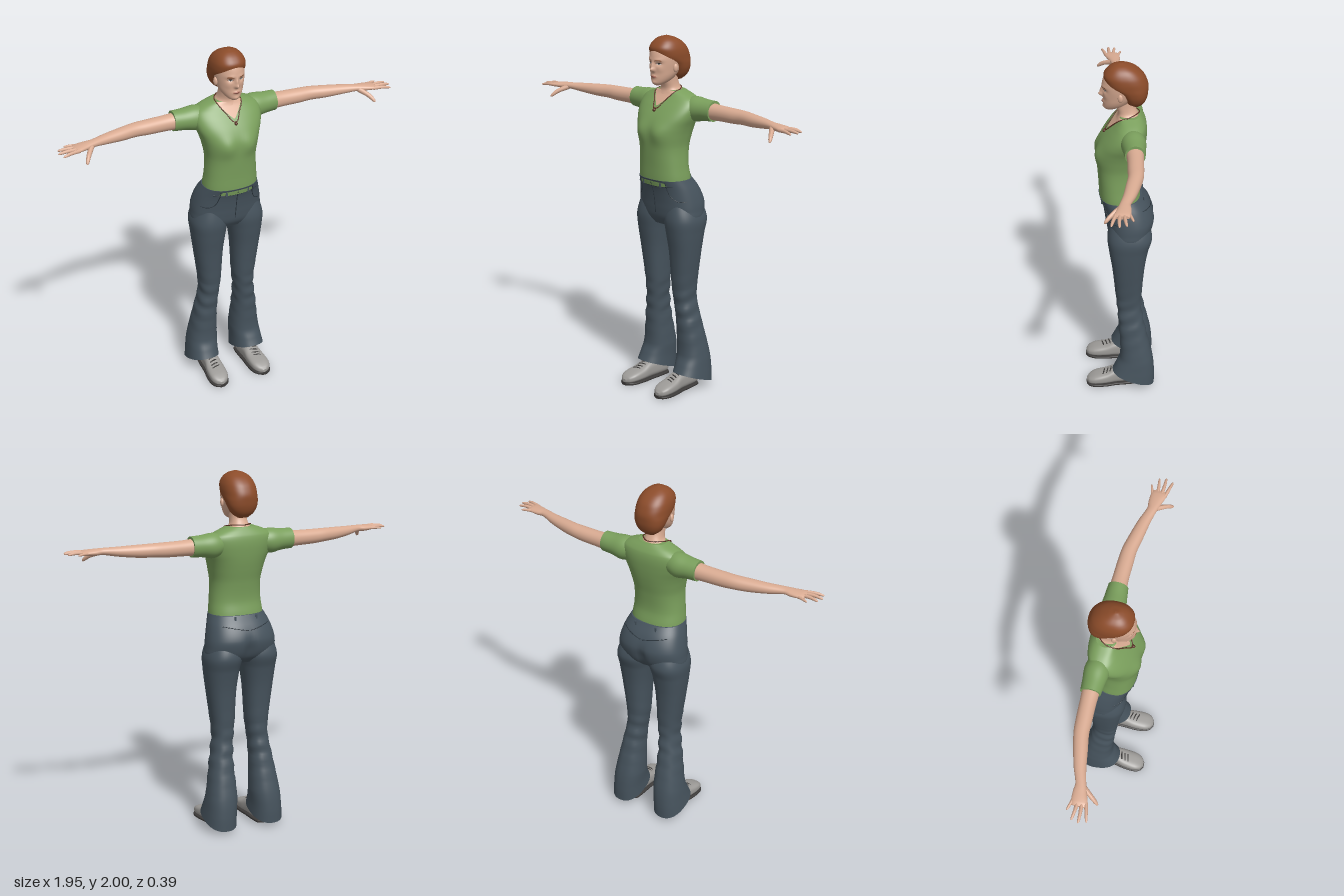
import * as THREE from 'three';

const mat = (name, color) => Object.assign(new THREE.MeshStandardMaterial({ color }), { name });
const M = {
  skin: mat('skin', 0xd9ab92), hair: mat('auburn hair', 0x8c4c2a), shirt: mat('green cotton', 0x7a9f5c),
  denim: mat('blue denim', 0x46535d), seam: mat('denim seam', 0x2c363e), shoe: mat('grey canvas', 0x9d9b98),
  dark: mat('dark rubber', 0x3c3a39), lip: mat('lips', 0xb87868), eye: mat('eye white', 0xd8d4d0),
  bead: mat('necklace brown', 0x5c3426),
};

// Smooth interpolation of a table whose first column is the station.
function at(rows, s) {
  let i = 0;
  while (i < rows.length - 2 && s > rows[i + 1][0]) i++;
  const a = rows[i], b = rows[i + 1], h = b[0] - a[0], t = (s - a[0]) / h;
  const slope = (k, c) => {
    const p = rows[Math.max(k - 1, 0)], q = rows[Math.min(k + 1, rows.length - 1)];
    return (q[c] - p[c]) / (q[0] - p[0]);
  };
  return a.map((_, c) => c === 0 ? s :
    a[c] * (2 * t ** 3 - 3 * t * t + 1) + b[c] * (3 * t * t - 2 * t ** 3) +
    h * slope(i, c) * (t ** 3 - 2 * t * t + t) + h * slope(i + 1, c) * (t ** 3 - t * t));
}
const pw = (v, p) => Math.sign(v) * Math.abs(v) ** p;
const gauss = (d, w) => Math.exp(-((d / w) ** 2));

// Rows are [station, centre, half size, low, high]; each row is one rounded section.
const place = {
  y: (r, s, c) => [r[1] + r[2] * s, r[0], (r[3] + r[4]) / 2 + (r[4] - r[3]) / 2 * c],
  x: (r, s, c) => [r[0], r[1] + r[2] * c, (r[3] + r[4]) / 2 + (r[4] - r[3]) / 2 * s],
  z: (r, s, c) => [r[1] - r[2] * s, (r[3] + r[4]) / 2 + (r[4] - r[3]) / 2 * c, r[0]],
};
function loft(rows, { axis = 'y', p = 0.85, n = 48, sub = 5, tweak } = {}) {
  const pos = [], idx = [], stations = [];
  for (let i = 0; i < rows.length - 1; i++)
    for (let k = 0; k < sub; k++) stations.push(rows[i][0] + (rows[i + 1][0] - rows[i][0]) * k / sub);
  stations.push(rows[rows.length - 1][0]);
  const rings = stations.map((s) => Array.from({ length: n }, (_, j) => {
    const a = j / n * Math.PI * 2;
    const v = new THREE.Vector3(...place[axis](at(rows, s), pw(Math.sin(a), p), pw(Math.cos(a), p)));
    if (tweak) tweak(v);
    return v;
  }));
  rings.forEach((ring, i) => {
    ring.forEach((v, j) => {
      pos.push(v.x, v.y, v.z);
      if (i === rings.length - 1) return;
      const a = i * n + j, b = i * n + (j + 1) % n;
      idx.push(a, b, b + n, a, b + n, a + n);
    });
  });
  // End caps with their own corners
  [rings[0], rings[rings.length - 1]].forEach((ring, e) => {
    const base = pos.length / 3;
    const mid = ring.reduce((m, v) => m.add(v), new THREE.Vector3()).divideScalar(n);
    [...ring, mid].forEach((v) => pos.push(v.x, v.y, v.z));
    for (let j = 0; j < n; j++) {
      const a = base + j, b = base + (j + 1) % n;
      idx.push(base + n, e ? a : b, e ? b : a);
    }
  });
  return build(pos, idx);
}
function build(pos, idx) {
  const g = new THREE.BufferGeometry();
  g.setAttribute('position', new THREE.Float32BufferAttribute(pos, 3));
  g.setIndex(idx);
  g.computeVertexNormals();
  return g;
}
// Depth of a vertical loft's front (side 1) or back (side -1) at x, y
function depth(rows, x, y, side = 1, p = 0.85) {
  const r = at(rows, y), s = Math.min(1, Math.abs((x - r[1]) / r[2])) ** (1 / p);
  return (r[3] + r[4]) / 2 + side * (r[4] - r[3]) / 2 * Math.sqrt(1 - s * s) ** p;
}
// Thin plate lying on a surface; outline maps u in -1..1 and v in 0..1 to x, y
function plate(outline, zAt, n = 14) {
  const pos = [], idx = [];
  for (let i = 0; i <= n; i++) for (let j = 0; j <= n; j++) {
    const [x, y] = outline(j / n * 2 - 1, i / n), a = i * (n + 1) + j;
    pos.push(x, y, zAt(x, y));
    if (i < n && j < n) idx.push(a, a + 1, a + n + 2, a, a + n + 2, a + n + 1);
  }
  return build(pos, idx);
}
const oval = (cx, cy, rx, ry) => (u, v) => [cx + u * rx * Math.sqrt(Math.max(0, 1 - (2 * v - 1) ** 2)), cy + (2 * v - 1) * ry];
// Tube whose radius follows a function of its length
function taper(points, radius, closed = false, n = 30) {
  const curve = new THREE.CatmullRomCurve3(points.map((q) => new THREE.Vector3(...q)), closed);
  const g = new THREE.TubeGeometry(curve, n, 1, 10, closed), P = g.attributes.position, v = new THREE.Vector3();
  for (let i = 0; i < P.count; i++) {
    const t = Math.floor(i / 11) / n, c = curve.getPointAt(t);
    v.fromBufferAttribute(P, i).sub(c).multiplyScalar(radius(t)).add(c);
    P.setXYZ(i, v.x, v.y, v.z);
  }
  g.computeVertexNormals();
  return g;
}
const mirrored = (geo) => {
  const g = geo.clone().scale(-1, 1, 1), ix = g.index.array;
  for (let i = 0; i < ix.length; i += 3) [ix[i], ix[i + 1]] = [ix[i + 1], ix[i]];
  return g;
};

const TORSO = [[1.19, 0, .148, -.105, .11], [1.22, 0, .153, -.108, .116], [1.3, 0, .145, -.095, .12], [1.4, 0, .14, -.105, .127],
  [1.47, 0, .152, -.12, .13], [1.52, 0, .166, -.13, .125], [1.57, 0, .185, -.137, .104], [1.62, 0, .194, -.14, .07],
  [1.66, 0, .182, -.135, .037], [1.685, 0, .14, -.122, .018], [1.707, 0, .08, -.105, .008]];
const PELVIS = [[.96, 0, .15, -.12, .045], [1, 0, .2, -.16, .07], [1.05, 0, .202, -.18, .08], [1.1, 0, .196, -.183, .086],
  [1.17, 0, .178, -.155, .099], [1.225, 0, .156, -.116, .119]];
const LEG = [[.02, .145, .09, -.19, .05], [.1, .142, .086, -.19, .03], [.2, .135, .083, -.18, .007], [.4, .123, .063, -.135, .012],
  [.52, .11, .056, -.115, .022], [.6, .106, .062, -.115, .03], [.8, .113, .08, -.13, .05], [.92, .112, .094, -.15, .068],
  [1, .107, .102, -.17, .076], [1.1, .095, .08, -.14, .06]];
const HEAD = [[1.737, 0, .015, .04, .075], [1.747, 0, .032, .01, .088], [1.765, 0, .05, -.03, .092], [1.79, 0, .064, -.06, .092],
  [1.82, 0, .073, -.09, .092], [1.86, 0, .08, -.11, .097], [1.9, 0, .082, -.12, .095], [1.94, 0, .075, -.11, .08],
  [1.97, 0, .055, -.07, .05], [1.99, 0, .02, -.03, .02]];
const HAIR = [[1.757, 0, .03, -.1, -.065], [1.78, 0, .06, -.125, -.03], [1.815, 0, .08, -.14, -.01], [1.85, 0, .088, -.145, .02],
  [1.88, 0, .09, -.145, .068], [1.91, 0, .09, -.135, .084], [1.94, 0, .084, -.118, .088], [1.97, 0, .067, -.085, .066],
  [1.99, 0, .04, -.045, .037], [2, 0, .006, -.01, .006]];
const NECK = [[1.67, 0, .08, -.1, .03], [1.7, 0, .063, -.098, .016], [1.72, 0, .05, -.088, .015], [1.75, 0, .045, -.075, .025], [1.79, 0, .045, -.07, .04]];
const SLEEVE = [[.1, 1.62, .05, -.11, 0], [.17, 1.615, .068, -.128, .005], [.24, 1.617, .059, -.123, -.004], [.302, 1.618, .056, -.119, -.012]];
const ARM = [[.27, 1.616, .046, -.112, -.018], [.35, 1.615, .042, -.108, -.022], [.45, 1.615, .04, -.104, -.02], [.52, 1.617, .037, -.098, -.018],
  [.6, 1.617, .034, -.08, -.004], [.7, 1.62, .026, -.052, .013], [.78, 1.624, .018, -.023, .033], [.82, 1.622, .018, -.025, .046],
  [.87, 1.622, .014, -.022, .062], [.892, 1.621, .009, -.014, .056]];
const SHOE = [[-.115, .12, .02, .02, .06], [-.105, .12, .034, .014, .09], [-.05, .122, .042, .012, .11], [.03, .126, .046, .012, .105],
  [.085, .13, .053, .012, .083], [.15, .134, .052, .012, .067], [.185, .136, .036, .013, .051], [.2, .136, .012, .018, .036]];

// Relief of the face: nose, eye sockets, brow, cheeks, lips and chin
const relief = (x, y) => {
  const ax = Math.abs(x);
  return .021 * gauss(y - 1.824, .011) * gauss(x, .012) + .013 * gauss(y - 1.845, .02) * gauss(x, .009)
    - .01 * gauss(ax - .031, .017) * gauss(y - 1.857, .011) + .004 * gauss(y - 1.877, .01) * gauss(ax - .03, .025)
    + .004 * gauss(ax - .042, .018) * gauss(y - 1.825, .018) + .006 * gauss(x, .02) * gauss(y - 1.786, .008)
    + .004 * gauss(x, .016) * gauss(y - 1.755, .01);
};

export function createModel() {
  const model = new THREE.Group();
  model.name = 'standingWoman';
  const add = (name, geo, m) => {
    const mesh = new THREE.Mesh(geo, m);
    mesh.name = name;
    model.add(mesh);
  };
  const pair = (name, geo, m) => { add(name + 'Left', geo, m); add(name + 'Right', mirrored(geo), m); };

  // Head and hair
  add('head', loft(HEAD, { p: 1, n: 120, sub: 8, tweak: (v) => { if (v.z > .02) v.z += relief(v.x, v.y); } }), M.skin);
  add('hair', loft(HAIR, { n: 64 }), M.hair);
  add('neck', loft(NECK), M.skin);
  pair('ear', new THREE.SphereGeometry(1, 16, 12).scale(.01, .023, .014).rotateY(-.3).translate(.08, 1.832, .004), M.skin);
  const onFace = (lift) => (x, y) => depth(HEAD, x, y, 1, 1) + relief(x, y) + lift;
  pair('eye', plate(oval(.031, 1.857, .0125, .005), onFace(.0015)), M.eye);
  pair('iris', plate(oval(.031, 1.857, .005, .0048), onFace(.0025)), M.dark);
  pair('lash', plate((u, v) => [.031 + u * .014, 1.8605 + v * .0025 - u * u * .004], onFace(.002)), M.bead);
  pair('eyebrow', plate((u, v) => [.032 + u * .017, 1.874 + v * .004 - u * u * .003], onFace(.0015)), M.hair);
  add('mouth', plate(oval(0, 1.786, .021, .0065), onFace(.0012)), M.lip);
  add('mouthLine', plate(oval(0, 1.786, .02, .001), onFace(.002)), M.bead);

  // Shirt with its open neckline and necklace
  add('shirt', loft(TORSO, { n: 72, tweak: (v) => {
    if (v.z > 0) v.z += .016 * gauss(Math.abs(v.x) - .068, .05) * gauss(v.y - 1.485, .055);
  } }), M.shirt);
  pair('sleeve', loft(SLEEVE, { axis: 'x', p: 1 }), M.shirt);
  const chest = (x, y, lift) => depth(TORSO, x, y) + lift;
  add('neckline', plate((u, v) => [u * .076 * v ** .85, 1.625 + v * .08], (x, y) => chest(x, y, .004), 20), M.skin);
  const front = [[.068, 1.695], [.035, 1.648], [.012, 1.615]];
  const half = front.map(([x, y]) => [x, y, chest(x, y, .006)]);
  const loop = [...half, ...half.slice().reverse().map(([x, y, z]) => [-x, y, z]),
    [-.064, 1.713, -.05], [0, 1.718, -.1], [.064, 1.713, -.05]];
  add('necklace', taper(loop, (t) => .0022 + .0012 * Math.cos(t * 60 * Math.PI * 2) ** 2, true, 240), M.bead);
  add('pendant', new THREE.SphereGeometry(.009, 16, 12).translate(0, 1.604, chest(0, 1.604, .006)), M.bead);

  // Arms, hands and fingers
  pair('arm', loft(ARM, { axis: 'x', p: .95 }), M.skin);
  [['indexFinger', [.865, 1.621, .052], [.92, 1.623, .067], [.963, 1.617, .078], .0105],
    ['middleFinger', [.87, 1.622, .033], [.93, 1.625, .038], [.977, 1.62, .038], .011],
    ['ringFinger', [.87, 1.622, .012], [.925, 1.625, .008], [.968, 1.62, .002], .0105],
    ['littleFinger', [.85, 1.621, -.01], [.89, 1.622, -.022], [.924, 1.619, -.032], .009],
    ['thumb', [.79, 1.618, .022], [.828, 1.592, .075], [.85, 1.563, .108], .015],
  ].forEach(([name, a, b, c, r]) =>
    pair(name, taper([a, b, c], (t) => r * (1 - .35 * t) * Math.sqrt(Math.max(0, 1 - t ** 10))), M.skin));

  // Jeans: hips and flared legs with a raked hem
  add('jeansHips', loft(PELVIS, { n: 72, tweak: (v) => {
    if (v.z < 0) v.z += .022 * gauss(v.x, .025) * gauss(v.y - 1.03, .07);
  } }), M.denim);
  pair('jeansLeg', loft(LEG, { sub: 8, tweak: (v) => {
    const fold = .003 * gauss(v.y - .45, .16) * Math.sin(v.y * 70 + v.z * 25);
    v.x += fold;
    v.z += fold;
    v.y += (v.z + .19) * .36 * Math.max(0, 1 - (v.y - .02) / .2);
  } }), M.denim);
  const stitch = (pts, side) => taper(pts.map(([x, y]) => [x, y, depth(PELVIS, x, y, side) + side * .001]), () => .0022);
  pair('frontPocket', stitch([[.095, 1.215], [.1, 1.17], [.118, 1.13], [.15, 1.11], [.18, 1.11]], 1), M.seam);
  pair('backYoke', stitch([[.004, 1.15], [.05, 1.158], [.1, 1.168], [.14, 1.175]], -1), M.seam);
  add('flySeam', stitch([[0, 1.21], [.002, 1.15], [.002, 1.09], [0, 1.03]], 1), M.seam);
  pair('waistSeam', stitch([[0, 1.188], [.04, 1.189], [.08, 1.19], [.13, 1.192]], 1), M.seam);
  [1, -1].forEach((side) => pair(side > 0 ? 'frontBeltLoop' : 'backBeltLoop',
    new THREE.BoxGeometry(.01, .036, .006).translate(.065, 1.206, depth(PELVIS, .065, 1.206, side)), M.denim));

  // Shoes
  pair('shoe', loft(SHOE, { axis: 'z', p: .7 }), M.shoe);
  pair('sole', loft(SHOE.map(([z, c, w]) => [z * 1.01, c, w + .003, 0, .017]), { axis: 'z', p: .45 }), M.dark);
  [.04, .06, .08, .1].forEach((z, i) => {
    const r = at(SHOE, z), pts = [-1, -.5, 0, .5, 1].map((u) => [r[1] + u * .026, r[4] - .006 * u * u + .001, z + u * .006]);
    pair('lace' + (i + 1), taper(pts, () => .0035), M.dark);
  });
  return model;
}
